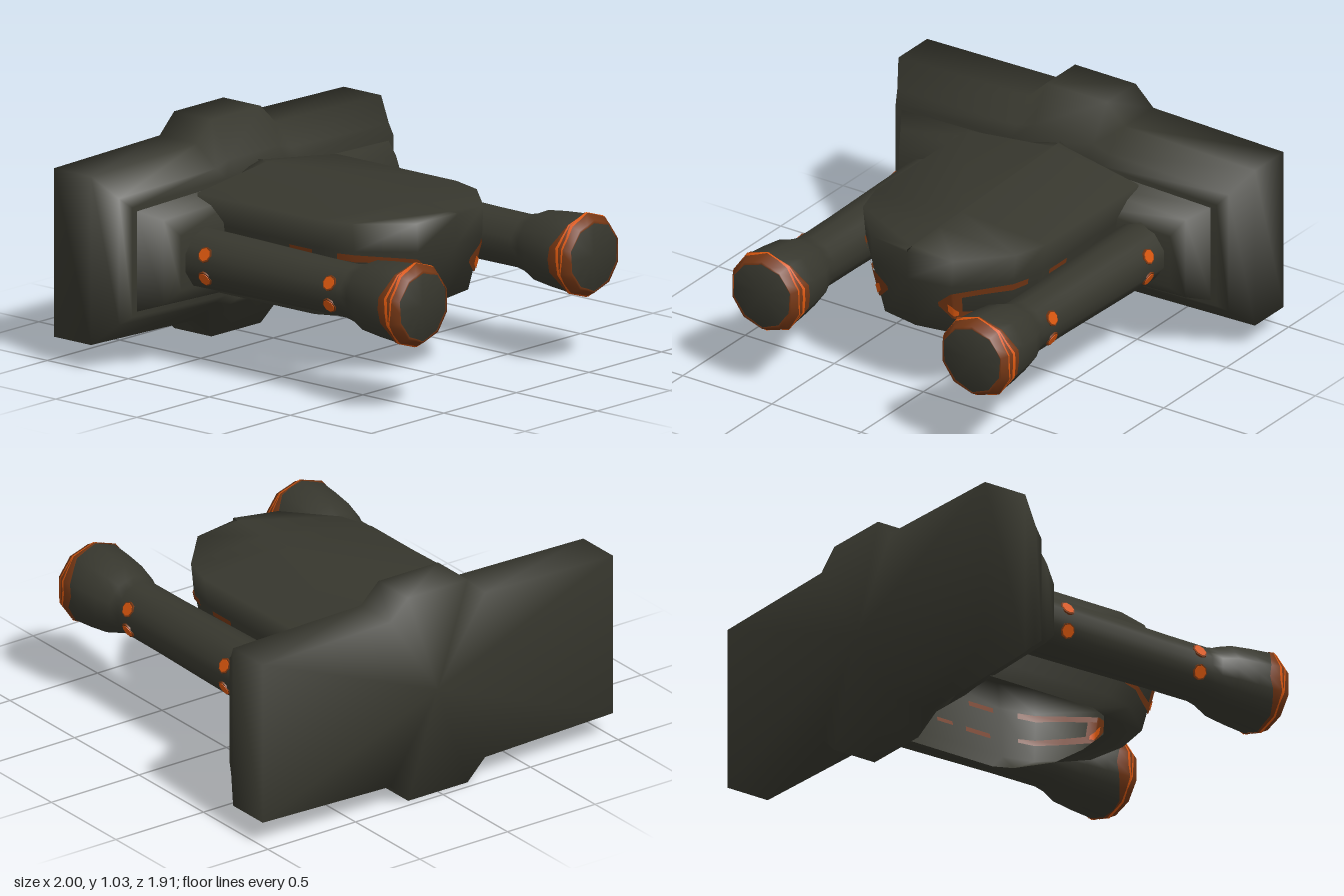
import * as THREE from 'three';

const hull = new THREE.MeshStandardMaterial({ name: 'dark olive hull', color: 0x37372e, side: THREE.DoubleSide });
const rust = new THREE.MeshStandardMaterial({ name: 'burnt orange', color: 0x733614, side: THREE.DoubleSide });
const glow = new THREE.MeshStandardMaterial({ name: 'bright orange', color: 0xd9560e, side: THREE.DoubleSide });

// Skins a list of rings (arrays of [x, y, z]) smoothly; optional fans close the ends.
function loft(rings, { closed = true, capStart = false, capEnd = false } = {}) {
  const n = rings[0].length, pos = rings.flat(2), index = [];
  for (let r = 0; r < rings.length - 1; r++) {
    for (let i = 0; i < (closed ? n : n - 1); i++) {
      const j = (i + 1) % n, a = r * n, b = a + n;
      index.push(a + i, a + j, b + j, a + i, b + j, b + i);
    }
  }
  const cap = (ring, base, flip) => {
    const c = pos.length / 3;
    for (let k = 0; k < 3; k++) pos.push(ring.reduce((s, p) => s + p[k], 0) / n);
    for (let i = 0; i < n; i++) {
      const j = (i + 1) % n;
      index.push(c, base + (flip ? j : i), base + (flip ? i : j));
    }
  };
  if (capStart) cap(rings[0], 0, true);
  if (capEnd) cap(rings[rings.length - 1], (rings.length - 1) * n, false);
  const g = new THREE.BufferGeometry();
  g.setAttribute('position', new THREE.Float32BufferAttribute(pos, 3));
  g.setIndex(index);
  g.computeVertexNormals();
  return g;
}

function add(parent, name, geometry, material) {
  const mesh = new THREE.Mesh(geometry, material);
  mesh.name = name;
  parent.add(mesh);
  return mesh;
}

// ---- Rear plate: twelve-point outline with a raised centre, tapering forward
function plateRing(z, hx, hy, wx, wTop, wBot, top, bottom) {
  const right = [[hx, bottom], [hy, wBot - 0.02], [wx, wBot], [wx, wTop], [hy, wTop + 0.015], [hx, top]];
  const left = right.map(([x, y]) => [-x, y]).reverse();
  return [...right, ...left].map(([x, y]) => [x, y, z]);
}

function buildPlate(group) {
  add(group, 'rearPlate', loft([
    plateRing(-0.96, 0.17, 0.27, 1, 0.92, 0.12, 1.03, 0),
    plateRing(-0.73, 0.17, 0.27, 1, 0.92, 0.12, 1.03, 0),
    plateRing(-0.62, 0.17, 0.26, 0.93, 0.82, 0.22, 0.86, 0.17),
    plateRing(-0.565, 0.17, 0.25, 0.9, 0.78, 0.26, 0.8, 0.21),
  ], { capStart: true, capEnd: true }), hull);
  add(group, 'shoulderBlock', loft([
    plateRing(-0.57, 0.17, 0.25, 0.87, 0.76, 0.28, 0.78, 0.25),
    plateRing(-0.46, 0.17, 0.25, 0.8, 0.72, 0.32, 0.74, 0.29),
    plateRing(-0.39, 0.17, 0.25, 0.76, 0.65, 0.39, 0.67, 0.36),
  ], { capEnd: true }), hull);
}

// ---- Central body: half plan [x, z] from the nose round to the back
const plan = [[0, 0.63], [0.23, 0.59], [0.43, 0.37], [0.48, 0.2], [0.48, -0.54], [0.27, -0.58], [0, -0.605]];
// Levels: [y, width scale, nose length scale]
const levels = [[0.295, 0.82, 0.53], [0.37, 0.86, 0.89], [0.64, 0.965, 1], [0.775, 1, 1]];

function bodyPoint(u, y, out = 0) {
  const i = Math.min(Math.floor(u), plan.length - 2), f = u - i;
  const [a, b] = [plan[i], plan[i + 1]], mix = THREE.MathUtils.lerp;
  let k = 0;
  while (k < levels.length - 2 && y > levels[k + 1][0]) k++;
  const [lo, hi] = [levels[k], levels[k + 1]], t = (y - lo[0]) / (hi[0] - lo[0]);
  const x = mix(a[0], b[0], f) * mix(lo[1], hi[1], t);
  const z = mix(a[1], b[1], f);
  return [x + out * (x > 0 ? 1 : 0), y, (z > 0 ? z * mix(lo[2], hi[2], t) : z) + out * (z > 0.2 ? 1 : 0)];
}

function buildBody(group) {
  const ringOf = (fn) => {
    const half = plan.map((_, i) => fn(i));
    return [...half, ...half.slice(1, -1).reverse().map(([x, y, z]) => [-x, y, z])];
  };
  const rings = levels.map(([y]) => ringOf((i) => bodyPoint(i, y)));
  // the roof rises from the rim to a shallow ridge; the underside stays open
  rings.push(ringOf((i) => [0, 0.812 - 0.037 * plan[i][1], plan[i][1]]));
  add(group, 'bodyShell', loft(rings), hull);

  // Side markings: strips of [position along plan, lower y, upper y]
  const strips = [
    ['noseMarkTip', rust, [[0.64, 0.52, 0.54], [0.95, 0.46, 0.6], [1, 0.46, 0.605], [1.15, 0.48, 0.6]]],
    ['upperStripe', rust, [[1, 0.575, 0.605], [1.5, 0.585, 0.615], [2, 0.59, 0.625], [2.5, 0.595, 0.625]]],
    ['lowerStripe', rust, [[1, 0.46, 0.5], [1.5, 0.455, 0.49], [2, 0.455, 0.485], [2.5, 0.46, 0.48]]],
    ['upperDash', rust, [[3.06, 0.6, 0.625], [3.25, 0.6, 0.625]]],
    ['lowerDash', rust, [[3.1, 0.45, 0.475], [3.3, 0.45, 0.475]]],
    ['rearDash', rust, [[3.4, 0.46, 0.48], [3.52, 0.46, 0.48]]],
    ['noseMarkCore', glow, [[0.86, 0.5, 0.54], [0.95, 0.48, 0.53], [1, 0.475, 0.52], [1.08, 0.48, 0.5]]],
  ];
  // each marking shows on the outer and the inner face of the shell
  for (const side of [1, -1]) {
    for (const out of [1, -1]) {
      for (const [name, material, cuts] of strips) {
        const depth = out * (material === glow ? 0.009 : 0.006);
        const row = (k) => cuts.map((c) => {
          const [x, y, z] = bodyPoint(c[0], c[k], depth);
          return [x * side, y, z];
        });
        add(group, name, loft([row(1), row(2)], { closed: false }), material);
      }
    }
  }
}

// ---- Arms: ten-sided tubes flaring to a bell
function decagon(radius, z) {
  return Array.from({ length: 20 }, (_, i) => {
    const a = -Math.PI / 2 + (i * Math.PI) / 10;
    const r = (typeof radius === 'function' ? radius(i, a) : radius) * (i % 2 ? Math.cos(Math.PI / 10) : 1);
    return [r * Math.cos(a), r * Math.sin(a), typeof z === 'function' ? z(i, a) : z];
  });
}
const jitter = (i, s) => Math.abs(Math.sin((i + 1) * 12.99 + s * 7.3));

function buildArm(side) {
  const arm = new THREE.Group();
  arm.name = side > 0 ? 'leftArm' : 'rightArm';
  arm.position.set(side * 0.59, 0.52 + side * 0.005, 0);
  const profile = [[0.145, -0.45], [0.14, -0.1], [0.133, 0.3], [0.132, 0.55], [0.142, 0.6],
    [0.172, 0.67], [0.186, 0.78], [0.196, 0.9], [0.168, 0.948]];
  add(arm, 'armTube', loft(profile.map(([r, z]) => decagon(r, z)), { capEnd: true }), hull);

  // ragged rim colour, reaching further back on the two flanks
  const flank = (a) => Math.cos(a) ** 4;
  add(arm, 'bellRim', loft([
    decagon((i, a) => 0.199 - 0.007 * flank(a), (i, a) => 0.902 - 0.06 * flank(a) - 0.015 * jitter(i, side)),
    decagon(0.2, 0.906),
    decagon(0.172, 0.954),
    decagon((i) => 0.17 - 0.012 * jitter(i, 3), 0.954),
  ]), rust);
  add(arm, 'bellRimGlow', loft([
    decagon(0.202, (i, a) => 0.902 - 0.025 * flank(a) * jitter(i, 5)),
    decagon((i) => 0.202 - 0.009 * jitter(i, 8), (i) => 0.907 + 0.016 * jitter(i, 8)),
  ]), glow);

  // round studs in pairs on the outer flank, nearly flush
  for (const [z, radius] of [[0.48, 0.132], [-0.28, 0.141]]) {
    for (const tilt of [0.42, -0.42]) {
      const dir = new THREE.Vector3(side * Math.cos(tilt), Math.sin(tilt), 0);
      for (const [name, r, lift, material] of [['studRim', 0.038, -0.003, rust], ['stud', 0.031, 0, glow]]) {
        const disc = add(arm, name, new THREE.CylinderGeometry(r, r, 0.009, 8), material);
        disc.quaternion.setFromUnitVectors(new THREE.Vector3(0, 1, 0), dir);
        disc.position.copy(dir).multiplyScalar(radius + lift).setZ(z);
      }
    }
  }
  return arm;
}

export function createModel() {
  const group = new THREE.Group();
  group.name = 'model';
  buildPlate(group);
  buildBody(group);
  group.add(buildArm(1), buildArm(-1));
  return group;
}
